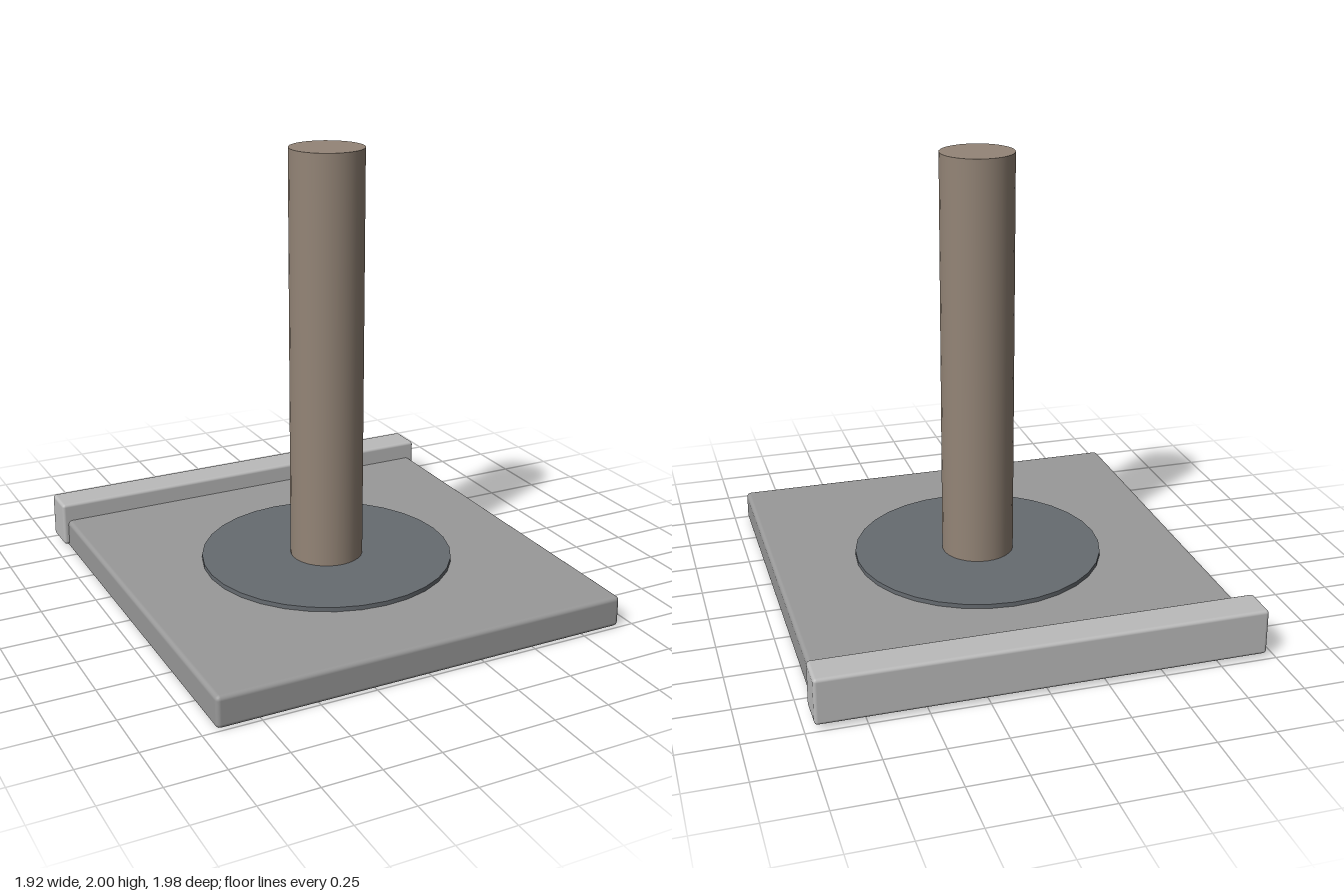
import * as THREE from 'three';
import { RoundedBoxGeometry } from 'three/addons/geometries/RoundedBoxGeometry.js';

export function createModel() {
  const model = new THREE.Group();

  function addPart(name, geometry, color, x, y, z) {
    const mesh = new THREE.Mesh(geometry, new THREE.MeshStandardMaterial({ color }));
    mesh.name = name;
    mesh.position.set(x, y, z);
    model.add(mesh);
  }

  const axisZ = 0.053; // shared centre of slab, disc and post

  // Square base slab with softened edges
  addPart('baseSlab', new RoundedBoxGeometry(1.872, 0.14, 1.878, 2, 0.02), 0x999999, 0, 0.07, axisZ);

  // Raised bar along the back edge
  addPart('backBar', new RoundedBoxGeometry(1.92, 0.204, 0.16, 2, 0.015), 0xbbbbbb, 0, 0.122, -0.912);

  // Thin round plate, sunk slightly into the slab
  addPart('roundPlate', new THREE.CylinderGeometry(0.563, 0.563, 0.03, 32), 0x666b70, 0, 0.145, axisZ);

  // Tall post standing on the plate
  addPart('post', new THREE.CylinderGeometry(0.163, 0.163, 1.85, 32), 0x948577, 0, 1.075, axisZ);

  return model;
}
